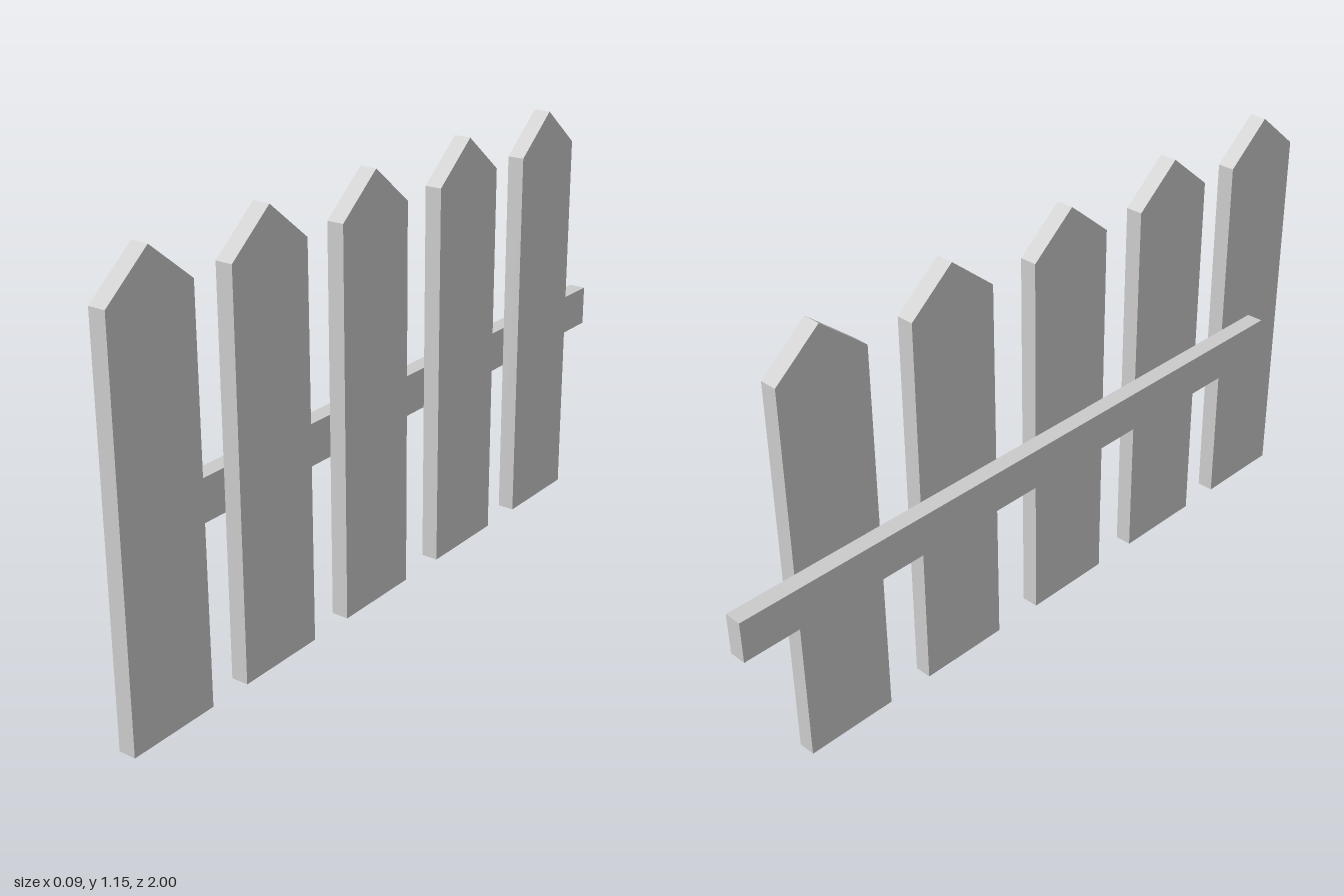
import * as THREE from 'three';

const THICK = 0.047;
const PICKET_WIDTH = 0.257;
const SHOULDER = 1.045;
const PEAK = 1.151;

export function createModel() {
  const fence = new THREE.Group();
  fence.name = 'picketFence';
  const wood = new THREE.MeshStandardMaterial({ color: 0xcccccc, flatShading: true });

  // Pointed board outline, extruded and turned to face +x
  const w = PICKET_WIDTH / 2;
  const outline = new THREE.Shape([
    new THREE.Vector2(-w, 0),
    new THREE.Vector2(w, 0),
    new THREE.Vector2(w, SHOULDER),
    new THREE.Vector2(0, PEAK),
    new THREE.Vector2(-w, SHOULDER),
  ]);
  const picketGeometry = new THREE.ExtrudeGeometry(outline, { depth: THICK, bevelEnabled: false });
  picketGeometry.rotateY(Math.PI / 2);

  // Five pickets, slightly unevenly spaced
  [0.871, 0.495, 0.107, -0.292, -0.68].forEach((z, i) => {
    const picket = new THREE.Mesh(picketGeometry, wood);
    picket.name = `picket${i + 1}`;
    picket.position.z = z;
    fence.add(picket);
  });

  // Horizontal rail behind the pickets, overhanging at the -z end
  const railFront = 0.865, railBack = -1;
  const rail = new THREE.Mesh(new THREE.BoxGeometry(THICK, 0.112, railFront - railBack), wood);
  rail.name = 'rail';
  rail.position.set(-THICK / 2, 0.497, (railFront + railBack) / 2);
  fence.add(rail);

  return fence;
}
